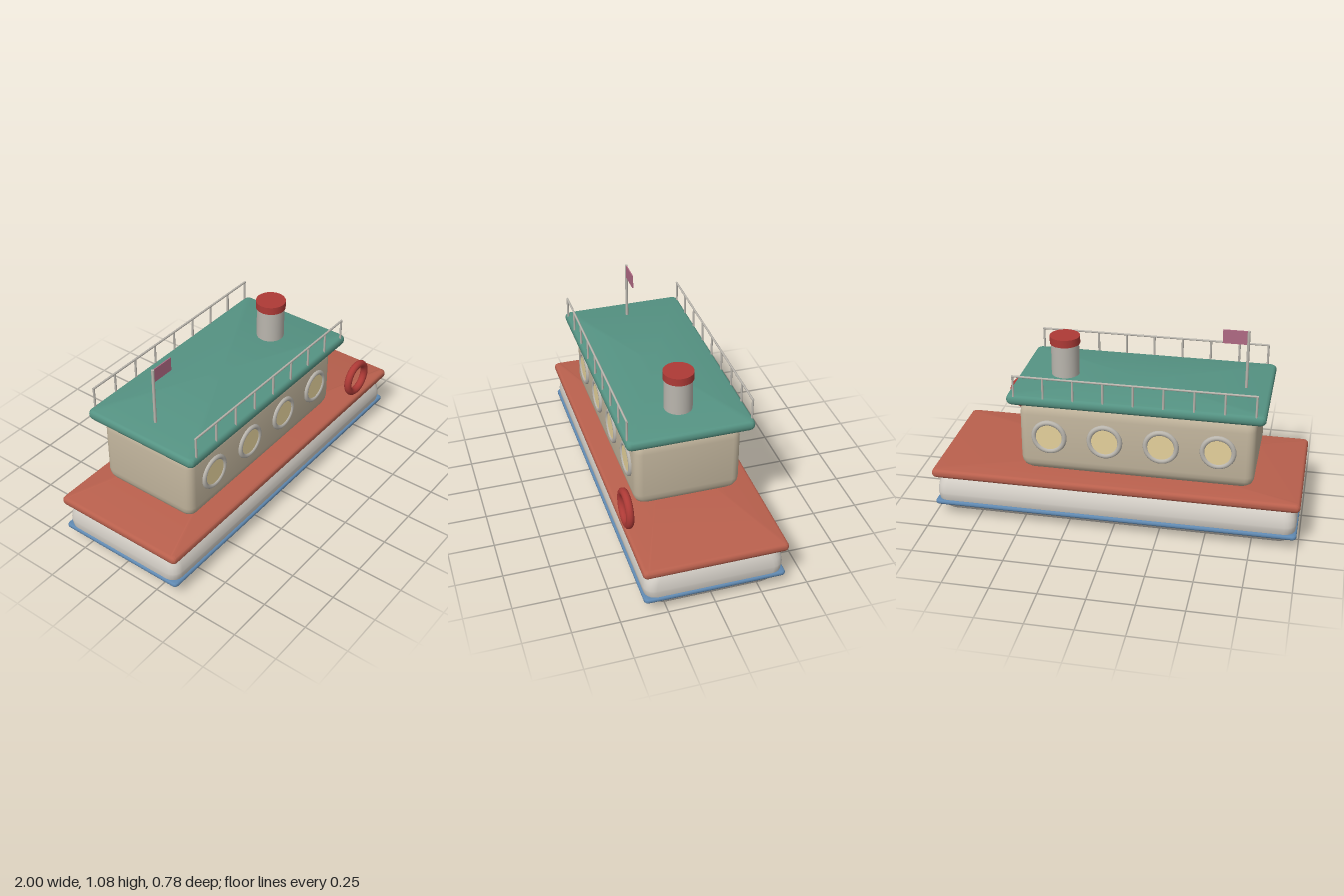
import * as THREE from 'three';
import { toCreasedNormals } from 'three/addons/utils/BufferGeometryUtils.js';

const mat = (color) => new THREE.MeshStandardMaterial({ color, side: THREE.DoubleSide });
const M = {
  hull: mat(0xd3cec6), trim: mat(0x5f88b0), deck: mat(0xb9604d), cabin: mat(0xc2b59d),
  roof: mat(0x559383), red: mat(0xae3a36), metal: mat(0xbab6ae), glass: mat(0xe6d29c), flag: mat(0xb06a84),
};
const ZC = -0.007; // centre line of the boat

function add(parent, name, geometry, material, x = 0, y = 0, z = 0) {
  const mesh = new THREE.Mesh(geometry, material);
  mesh.name = name;
  mesh.position.set(x, y, z);
  parent.add(mesh);
  return mesh;
}

// Shell lofted through rounded rectangles [y, halfX, halfZ, cornerRadius]; closed on top, open below
function shell(sections, cornerSteps = 5) {
  const rings = sections.map(([y, hx, hz, r]) => {
    const ring = [];
    for (let c = 0; c < 4; c++) {
      const sx = c === 0 || c === 3 ? 1 : -1;
      const sz = c < 2 ? 1 : -1;
      for (let k = 0; k <= cornerSteps; k++) {
        const a = (c + k / cornerSteps) * Math.PI / 2;
        ring.push([sx * (hx - r) + r * Math.cos(a), y, sz * (hz - r) + r * Math.sin(a)]);
      }
    }
    return ring;
  });
  const n = rings[0].length;
  const pos = rings.flat(2);
  const index = [];
  for (let i = 0; i < rings.length - 1; i++) {
    for (let j = 0; j < n; j++) {
      const a = i * n + j, b = i * n + (j + 1) % n;
      index.push(a, a + n, b + n, a, b + n, b);
    }
  }
  const top = (rings.length - 1) * n;
  pos.push(0, sections[sections.length - 1][0], 0);
  for (let j = 0; j < n; j++) index.push(rings.length * n, top + (j + 1) % n, top + j);
  const g = new THREE.BufferGeometry();
  g.setAttribute('position', new THREE.Float32BufferAttribute(pos, 3));
  g.setIndex(index);
  return toCreasedNormals(g, 0.7);
}

// Slab sections with rounded upper and lower edges
function slab(y0, y1, hx, hz, bx, by, bz, corner, steps = 4) {
  const out = [];
  for (const upper of [false, true]) {
    for (let k = 0; k <= steps; k++) {
      const a = (upper ? k / steps : 1 - k / steps) * Math.PI / 2;
      const s = 1 - Math.cos(a);
      const y = upper ? y1 - by + by * Math.sin(a) : y0 + by - by * Math.sin(a);
      out.push([y, hx - bx * s, hz - bz * s, corner]);
    }
  }
  return out;
}

export function createModel() {
  const boat = new THREE.Group();
  boat.name = 'ferryBoat';

  // Hull, waterline band and deck
  add(boat, 'hull', shell(slab(0, 0.27, 0.985, 0.371, 0.085, 0.13, 0.13, 0.06, 5)), M.hull, 0, 0, ZC);
  add(boat, 'waterlineBand', shell(slab(0.07, 0.096, 0.99, 0.377, 0.01, 0.012, 0.01, 0.02)), M.trim, 0, 0, ZC);
  add(boat, 'deck', shell(slab(0.238, 0.288, 1, 0.383, 0.018, 0.023, 0.018, 0.02)), M.deck, 0, 0, ZC);

  // Cabin and its roof
  add(boat, 'cabin', shell(slab(0.298, 0.7, 0.631, 0.288, 0.045, 0.07, 0.05, 0.045)), M.cabin, -0.115, 0, ZC);
  add(boat, 'roof', shell(slab(0.702, 0.758, 0.683, 0.342, 0.018, 0.025, 0.018, 0.025)), M.roof, -0.113, 0, ZC);

  // Portholes on both long sides
  for (const side of [1, -1]) {
    for (let i = 0; i < 4; i++) {
      const port = new THREE.Group();
      port.name = 'porthole';
      port.position.set(-0.553 + i * 0.302, 0.508, ZC + side * 0.288);
      if (side < 0) port.rotation.y = Math.PI;
      add(port, 'portholeFrame', new THREE.TorusGeometry(0.083, 0.014, 10, 32), M.metal);
      add(port, 'portholeGlass', new THREE.CylinderGeometry(0.08, 0.08, 0.012, 32), M.glass).rotation.x = Math.PI / 2;
      boat.add(port);
    }
  }

  // Railings along both roof edges
  const posts = 9, x0 = -0.745, x1 = 0.528;
  for (const side of [1, -1]) {
    const railing = new THREE.Group();
    railing.name = 'railing';
    railing.position.z = ZC + side * 0.331;
    const bar = add(railing, 'handrail', new THREE.CylinderGeometry(0.006, 0.006, x1 - x0 + 0.012, 8), M.metal, (x0 + x1) / 2, 0.868, 0);
    bar.rotation.z = Math.PI / 2;
    for (let i = 0; i < posts; i++) {
      const x = x0 + (x1 - x0) * i / (posts - 1);
      add(railing, 'railPost', new THREE.CylinderGeometry(0.006, 0.006, 0.12, 8), M.metal, x, 0.81, 0);
    }
    boat.add(railing);
  }

  // Funnel with a red cap
  add(boat, 'funnel', new THREE.CylinderGeometry(0.076, 0.076, 0.2, 28, 1, true), M.metal, 0.325, 0.85, ZC);
  add(boat, 'funnelCap', new THREE.CylinderGeometry(0.082, 0.082, 0.043, 28), M.red, 0.325, 0.958, ZC);

  // Flag on its pole
  add(boat, 'flagPole', new THREE.CylinderGeometry(0.008, 0.008, 0.325, 10), M.metal, -0.66, 0.918, ZC);
  add(boat, 'flag', new THREE.BoxGeometry(0.13, 0.076, 0.006), M.flag, -0.59, 1.042, ZC);

  // Life ring at the deck edge
  add(boat, 'lifeRing', new THREE.TorusGeometry(0.086, 0.021, 12, 32), M.red, 0.655, 0.43, 0.371);

  return boat;
}
